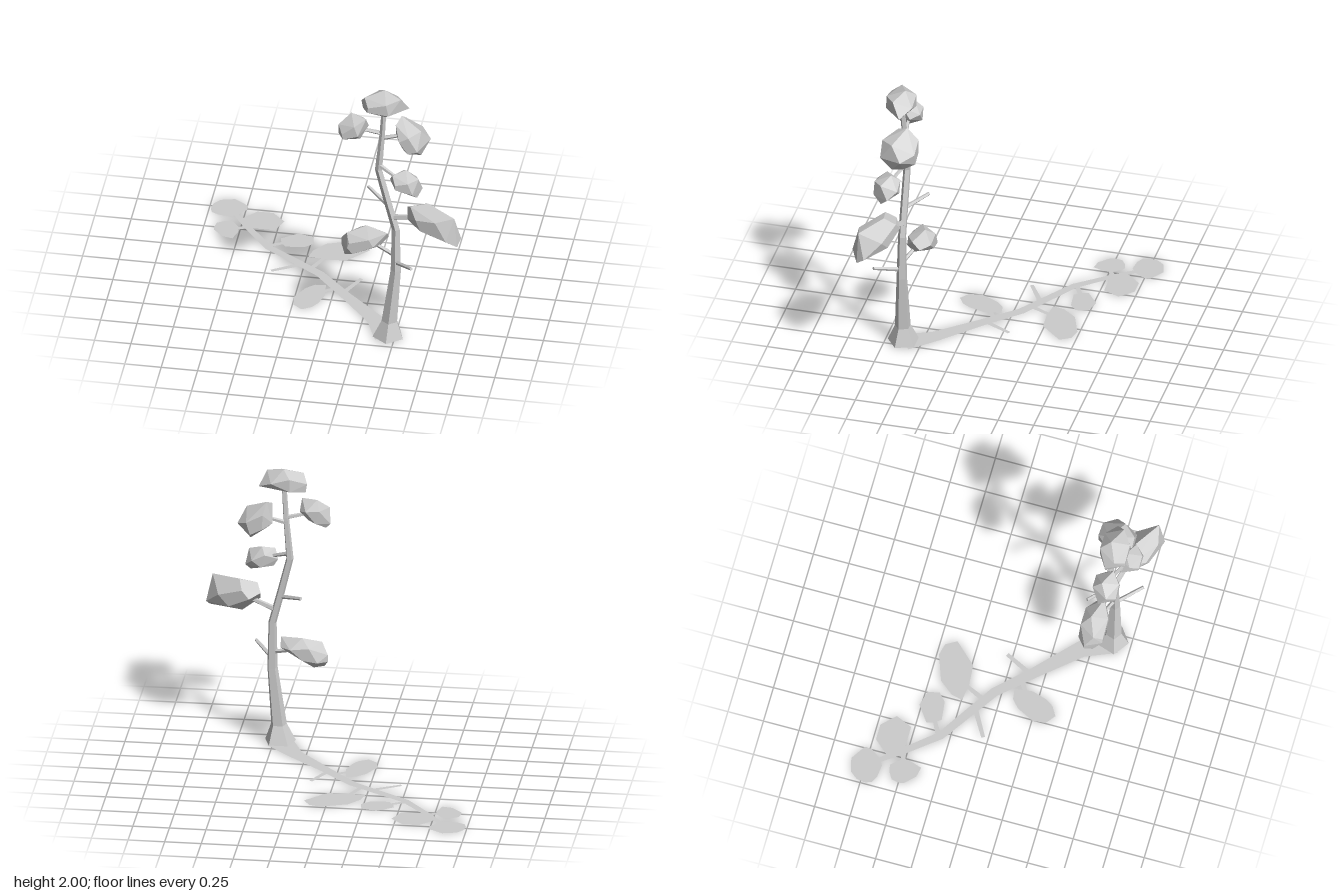
import * as THREE from 'three';
import { ConvexGeometry } from 'three/addons/geometries/ConvexGeometry.js';

const material = new THREE.MeshStandardMaterial({ color: 0xcccccc, flatShading: true });
const flatMaterial = new THREE.MeshStandardMaterial({ color: 0xcccccc, side: THREE.DoubleSide });

function addMesh(parent, name, geometry, mat = material) {
  const mesh = new THREE.Mesh(geometry, mat);
  mesh.name = name;
  parent.add(mesh);
  return mesh;
}

// Five-sided trunk lofted through level rings [x, y, z, radius]
function trunkGeometry(rings, sides = 5) {
  const positions = [], index = [];
  for (const [x, y, z, r] of rings) {
    for (let i = 0; i < sides; i++) {
      const a = (i / sides) * Math.PI * 2;
      positions.push(x + r * Math.sin(a), y, z + r * Math.cos(a));
    }
  }
  for (let k = 0; k < rings.length - 1; k++) {
    for (let i = 0; i < sides; i++) {
      const a = k * sides + i, b = k * sides + (i + 1) % sides;
      index.push(a, b, b + sides, a, b + sides, a + sides);
    }
  }
  // Close both ends with fans
  const top = (rings.length - 1) * sides;
  for (let i = 1; i < sides - 1; i++) {
    index.push(0, i + 1, i, top, top + i, top + i + 1);
  }
  const g = new THREE.BufferGeometry();
  g.setAttribute('position', new THREE.Float32BufferAttribute(positions, 3));
  g.setIndex(index);
  const flat = g.toNonIndexed();
  flat.computeVertexNormals();
  return flat;
}

// Straight tapered branch between two points
function addBranch(parent, name, from, to, r0 = 0.016, r1 = 0.012) {
  const a = new THREE.Vector3(...from), b = new THREE.Vector3(...to);
  const dir = b.clone().sub(a);
  const mesh = addMesh(parent, name, new THREE.CylinderGeometry(r1, r0, dir.length(), 5));
  mesh.position.copy(a).add(b).multiplyScalar(0.5);
  mesh.quaternion.setFromUnitVectors(new THREE.Vector3(0, 1, 0), dir.normalize());
}

// Faceted foliage: an outline around the middle and smaller front and back caps
function foliageGeometry({ outline, z, depth, slope = 0 }) {
  const n = outline.length;
  const cx = outline.reduce((s, p) => s + p[0], 0) / n;
  const cy = outline.reduce((s, p) => s + p[1], 0) / n;
  const points = [];
  const put = (x, y, dz) => points.push(new THREE.Vector3(x, y, z + slope * (x - cx) + dz));
  outline.forEach(([x, y], i) => {
    put(x, y, depth * (i % 2 ? 0.3 : -0.3));
    const [nx, ny] = outline[(i + 1) % n];
    const mx = (x + nx) / 2 - cx, my = (y + ny) / 2 - cy;
    if (i % 2) put(cx + mx * 0.6, cy + my * 0.6, -depth);
    else put(cx + mx * 0.6, cy + my * 0.6, depth);
  });
  return new ConvexGeometry(points);
}

// Flat ground polygon from [x, z] corners
function groundShape(corners) {
  const shape = new THREE.Shape(corners.map(([x, z]) => new THREE.Vector2(x, -z)));
  return new THREE.ShapeGeometry(shape).rotateX(-Math.PI / 2);
}

// Flat tapering strip along [x, z, width]
function groundStrip(path) {
  const left = [], right = [];
  path.forEach(([x, z, w], i) => {
    const p = path[Math.max(i - 1, 0)], q = path[Math.min(i + 1, path.length - 1)];
    const dx = q[0] - p[0], dz = q[1] - p[1], l = Math.hypot(dx, dz);
    const ox = (-dz / l) * w / 2, oz = (dx / l) * w / 2;
    left.push([x + ox, z + oz]);
    right.unshift([x - ox, z - oz]);
  });
  return groundShape([...left, ...right]);
}

export function createModel() {
  const model = new THREE.Group();
  model.name = 'treeWithShadow';

  // Trunk with flared foot
  addMesh(model, 'trunk', trunkGeometry([
    [0.456, 0.01, 0.622, 0.11], [0.465, 0.135, 0.624, 0.056], [0.508, 0.55, 0.62, 0.037],
    [0.507, 0.88, 0.618, 0.029], [0.45, 1.1, 0.617, 0.028], [0.388, 1.35, 0.615, 0.026],
    [0.415, 1.65, 0.625, 0.02], [0.43, 1.87, 0.64, 0.017],
  ]));

  // Branches and bare stubs
  const branches = new THREE.Group();
  branches.name = 'branches';
  model.add(branches);
  addBranch(branches, 'lowBranch', [0.5, 0.665, 0.62], [0.34, 0.71, 0.56]);
  addBranch(branches, 'lowStub', [0.51, 0.615, 0.63], [0.64, 0.677, 0.785]);
  addBranch(branches, 'largeBranch', [0.49, 0.975, 0.62], [0.68, 1.03, 0.68], 0.02, 0.015);
  addBranch(branches, 'highStub', [0.45, 1.07, 0.62], [0.295, 1.115, 0.485]);
  addBranch(branches, 'middleBranch', [0.39, 1.39, 0.62], [0.52, 1.34, 0.68]);
  addBranch(branches, 'upperLeftBranch', [0.41, 1.61, 0.62], [0.56, 1.65, 0.615]);
  addBranch(branches, 'upperRightBranch', [0.41, 1.65, 0.62], [0.27, 1.68, 0.635]);

  // Foliage clumps
  const foliage = new THREE.Group();
  foliage.name = 'foliage';
  model.add(foliage);
  const clumps = {
    topFoliage: { z: 0.645, depth: 0.095, outline: [[0.27, 1.9], [0.3, 1.96], [0.43, 2], [0.55, 1.97],
      [0.6, 1.87], [0.44, 1.82], [0.28, 1.84]] },
    upperRightFoliage: { z: 0.64, depth: 0.085, outline: [[0.11, 1.62], [0.12, 1.72], [0.2, 1.79], [0.31, 1.78],
      [0.32, 1.7], [0.27, 1.62], [0.14, 1.59]] },
    upperLeftFoliage: { z: 0.61, depth: 0.12, outline: [[0.5, 1.62], [0.51, 1.74], [0.54, 1.775], [0.685, 1.71],
      [0.74, 1.61], [0.685, 1.52], [0.65, 1.51], [0.56, 1.55]] },
    middleFoliage: { z: 0.7, depth: 0.083, outline: [[0.475, 1.32], [0.5, 1.38], [0.585, 1.405], [0.68, 1.37],
      [0.7, 1.27], [0.67, 1.22], [0.505, 1.27]] },
    largeFoliage: { z: 0.725, depth: 0.1, slope: 0.33, outline: [[0.59, 1.08], [0.62, 1.13], [0.74, 1.155],
      [0.94, 1.135], [0.98, 0.95], [0.96, 0.91], [0.72, 0.935], [0.6, 1.02]] },
    lowFoliage: { z: 0.54, depth: 0.085, outline: [[0.115, 0.7], [0.16, 0.775], [0.29, 0.815], [0.44, 0.8],
      [0.44, 0.74], [0.385, 0.69], [0.21, 0.605], [0.145, 0.6], [0.115, 0.65]] },
  };
  for (const [name, clump] of Object.entries(clumps)) addMesh(foliage, name, foliageGeometry(clump));

  // Flat shadow lying on the ground
  const shadow = new THREE.Group();
  shadow.name = 'shadow';
  model.add(shadow);
  addMesh(shadow, 'trunkShadow', groundStrip([
    [0.456, 0.622, 0.2], [0.33, 0.43, 0.115], [0.08, 0.17, 0.075], [-0.125, -0.05, 0.065],
    [-0.525, -0.315, 0.055], [-0.71, -0.54, 0.045], [-0.83, -0.7, 0.03],
  ]), flatMaterial);
  const twigShadows = [
    [0.07, 0.14, 0.16, -0.04], [0.02, 0.1, -0.08, 0.16], [-0.28, -0.14, -0.46, -0.035],
    [-0.2, -0.1, -0.13, -0.25], [-0.53, -0.33, -0.42, -0.39], [-0.7, -0.54, -0.78, -0.5],
    [-0.72, -0.54, -0.66, -0.56],
  ];
  for (const [x0, z0, x1, z1] of twigShadows) {
    addMesh(shadow, 'branchShadow', groundStrip([[x0, z0, 0.036], [x1, z1, 0.026]]), flatMaterial);
  }
  const leafShadows = [
    [[-0.99, -0.72], [-0.98, -0.78], [-0.94, -0.83], [-0.845, -0.855], [-0.745, -0.79], [-0.745, -0.74],
      [-0.79, -0.675], [-0.84, -0.64], [-0.925, -0.65], [-0.975, -0.675]],
    [[-0.93, -0.5], [-0.92, -0.55], [-0.87, -0.58], [-0.82, -0.59], [-0.76, -0.52], [-0.76, -0.46],
      [-0.785, -0.38], [-0.855, -0.395], [-0.925, -0.465]],
    [[-0.76, -0.63], [-0.67, -0.73], [-0.56, -0.73], [-0.47, -0.64], [-0.52, -0.525], [-0.71, -0.525]],
    [[-0.46, -0.435], [-0.35, -0.515], [-0.245, -0.485], [-0.23, -0.405], [-0.285, -0.355],
      [-0.415, -0.34], [-0.45, -0.39]],
    [[-0.24, -0.245], [-0.22, -0.325], [-0.145, -0.42], [0.035, -0.485], [0.115, -0.465], [0.16, -0.39],
      [0.02, -0.24], [-0.12, -0.23]],
    [[-0.255, 0.255], [-0.195, 0.135], [-0.14, 0.085], [-0.065, 0.075], [-0.05, 0.2], [-0.08, 0.3],
      [-0.115, 0.355], [-0.18, 0.395], [-0.245, 0.345]],
  ];
  for (const corners of leafShadows) addMesh(shadow, 'foliageShadow', groundShape(corners), flatMaterial);

  return model;
}
